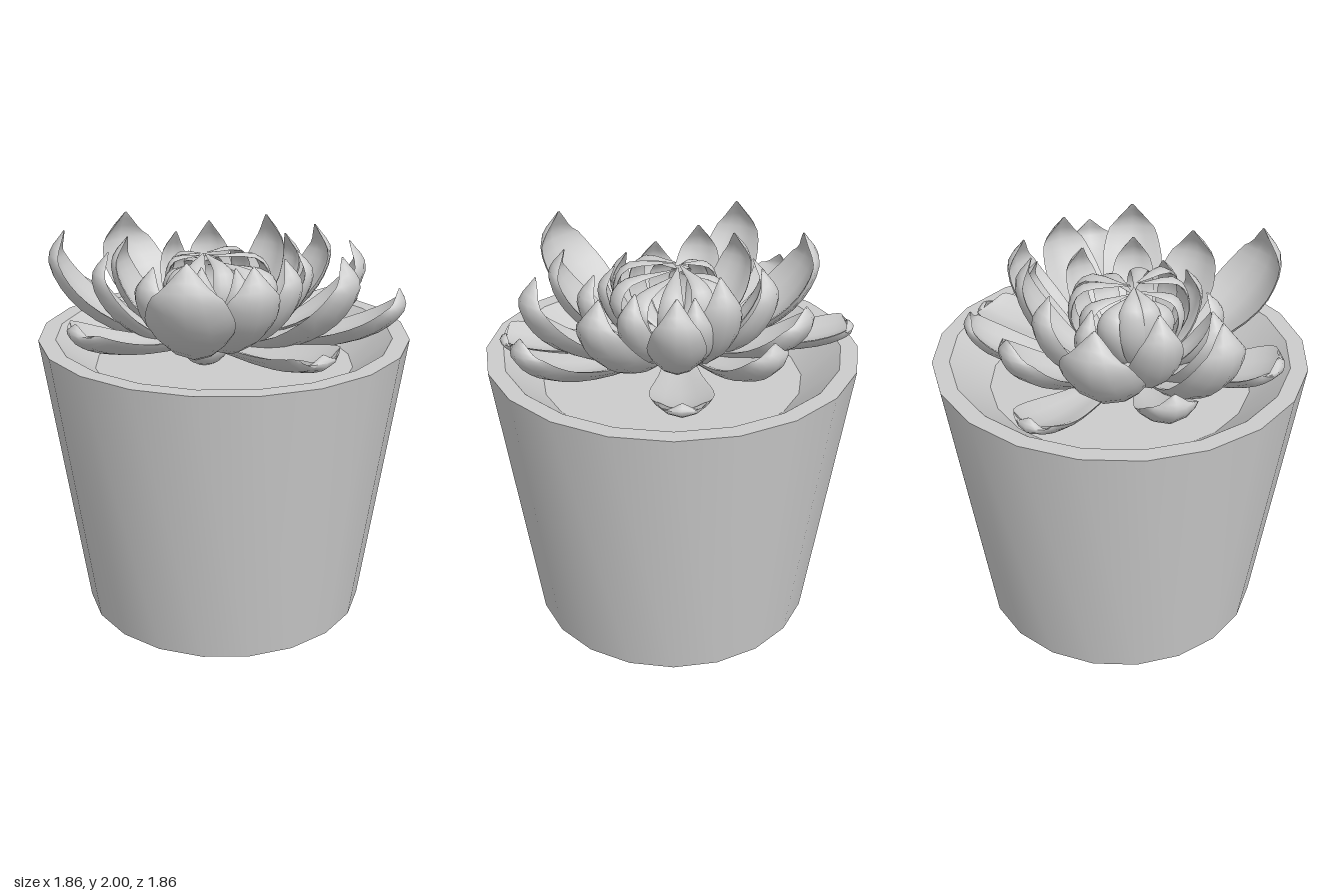
import * as THREE from 'three';
import { toCreasedNormals } from 'three/addons/utils/BufferGeometryUtils.js';

const material = new THREE.MeshStandardMaterial({ color: 0xcccccc });
const CENTRE = { x: -0.1, z: 0 };

// Thick cupped leaf growing towards +z along a (radius, height) spine
function leafGeometry(spine, width, thickness, cup) {
  const curve = new THREE.CatmullRomCurve3(spine.map(([r, y]) => new THREE.Vector3(0, y, r)));
  const rows = 14, sides = 12, pos = [], index = [];
  for (let i = 0; i <= rows; i++) {
    const s = i / rows;
    const p = curve.getPoint(s), t = curve.getTangent(s);
    const grow = 0.4 + 0.6 * THREE.MathUtils.smoothstep(s, 0, 0.5);
    const taper = 1 - Math.pow(s, 3.6);
    const w = Math.max(0.004, (width / 2) * grow * taper);
    const th = Math.max(0.002, thickness * taper);
    for (let j = 0; j < sides; j++) {
      const a = (j / sides) * Math.PI * 2, c = Math.cos(a);
      const n = cup * w * c * c + th * Math.sin(a);
      pos.push(w * c, p.y + n * t.z, p.z - n * t.y);
      if (i < rows) {
        const k = i * sides + j, l = i * sides + (j + 1) % sides;
        index.push(k, l, k + sides, l, l + sides, k + sides);
      }
    }
  }
  const g = new THREE.BufferGeometry();
  g.setAttribute('position', new THREE.Float32BufferAttribute(pos, 3));
  g.setIndex(index);
  return toCreasedNormals(g, 1.0);
}

function addLeaf(parent, name, angle, geometry) {
  const leaf = new THREE.Mesh(geometry, material);
  leaf.name = name;
  leaf.position.set(CENTRE.x, 0, CENTRE.z);
  leaf.rotation.y = angle;
  parent.add(leaf);
}

// Leaf tips: x, z, height, width
const LOW = [
  [-0.31, -0.84, 1.59, 0.3], [0.74, -0.28, 1.56, 0.32],
  [-0.77, 0.31, 1.63, 0.38], [0.33, 0.77, 1.57, 0.36],
  [0.77, 0.48, 1.78, 0.34], [-0.76, -0.38, 1.72, 0.3],
  [0.03, -0.69, 1.78, 0.42], [0.41, -0.62, 1.75, 0.3],
];
const TALL = [
  [-0.47, -0.61, 1.97, 0.42], [-0.84, -0.13, 1.98, 0.34],
  [-0.3, 0.77, 2.0, 0.44], [0.06, 0.61, 1.93, 0.35],
  [0.51, 0.56, 1.95, 0.34], [0.66, 0.17, 1.94, 0.32],
  [0.57, -0.2, 1.95, 0.3], [0.33, -0.36, 1.98, 0.28],
  [0.01, -0.51, 1.93, 0.27], [-0.21, -0.42, 1.9, 0.2],
  [-0.52, -0.22, 1.92, 0.28], [-0.64, 0.04, 1.9, 0.27],
  [-0.43, 0.25, 1.86, 0.27], [-0.17, 0.36, 1.87, 0.22],
  [0.03, 0.36, 1.86, 0.2], [0.29, 0.36, 1.9, 0.25],
  [0.42, 0.08, 1.88, 0.22], [0.42, -0.25, 1.9, 0.22],
];

export function createModel() {
  const model = new THREE.Group();

  // Twenty-sided pot with a shallow sloping bed inside the rim
  const profile = [[0, 0], [0.73, 0], [0.93, 1.46], [0.845, 1.46], [0.655, 1.3], [0, 1.3]]
    .map(([r, y]) => new THREE.Vector2(r, y));
  const pot = new THREE.Mesh(toCreasedNormals(new THREE.LatheGeometry(profile, 20), 0.6), material);
  pot.name = 'pot';
  model.add(pot);

  const plant = new THREE.Group();
  plant.name = 'succulent';
  model.add(plant);

  // Short stem holding the leaf bases
  const stem = new THREE.Mesh(new THREE.SphereGeometry(0.13, 14, 10), material);
  stem.name = 'stem';
  stem.position.set(CENTRE.x, 1.42, CENTRE.z);
  plant.add(stem);

  // Spreading lower leaves and upright leaves with hooked tips
  for (const [name, leaves, hook] of [['lowerLeaf', LOW, 0.02], ['uprightLeaf', TALL, 0.07]]) {
    for (const [x, z, y, width] of leaves) {
      const dx = x - CENTRE.x, dz = z - CENTRE.z, R = Math.hypot(dx, dz);
      const base = 1.42, h = y - base;
      const spine = [
        [0.04, base], [0.56 * R, base + 0.12 * h], [0.88 * R, base + 0.42 * h],
        [R, base + 0.76 * h], [R - hook, y],
      ];
      addLeaf(plant, name, Math.atan2(dx, dz), leafGeometry(spine, width, 0.025, 0.45));
    }
  }

  // Young leaves curling in over the heart, longer towards the left side
  const count = 12;
  for (let i = 0; i < count; i++) {
    const angle = (i / count) * Math.PI * 2 + 0.2;
    const r = 0.27 + 0.08 * Math.sin(angle) + 0.03 * Math.cos(angle);
    const y = 1.84 + 0.03 * Math.cos(i * 1.7);
    const spine = [[0.04, 1.46], [0.7 * r, 1.55], [r, 1.7], [0.85 * r, y - 0.03], [0.02, y]];
    addLeaf(plant, 'heartLeaf', angle, leafGeometry(spine, 0.15, 0.014, 0.2));
  }
  return model;
}
